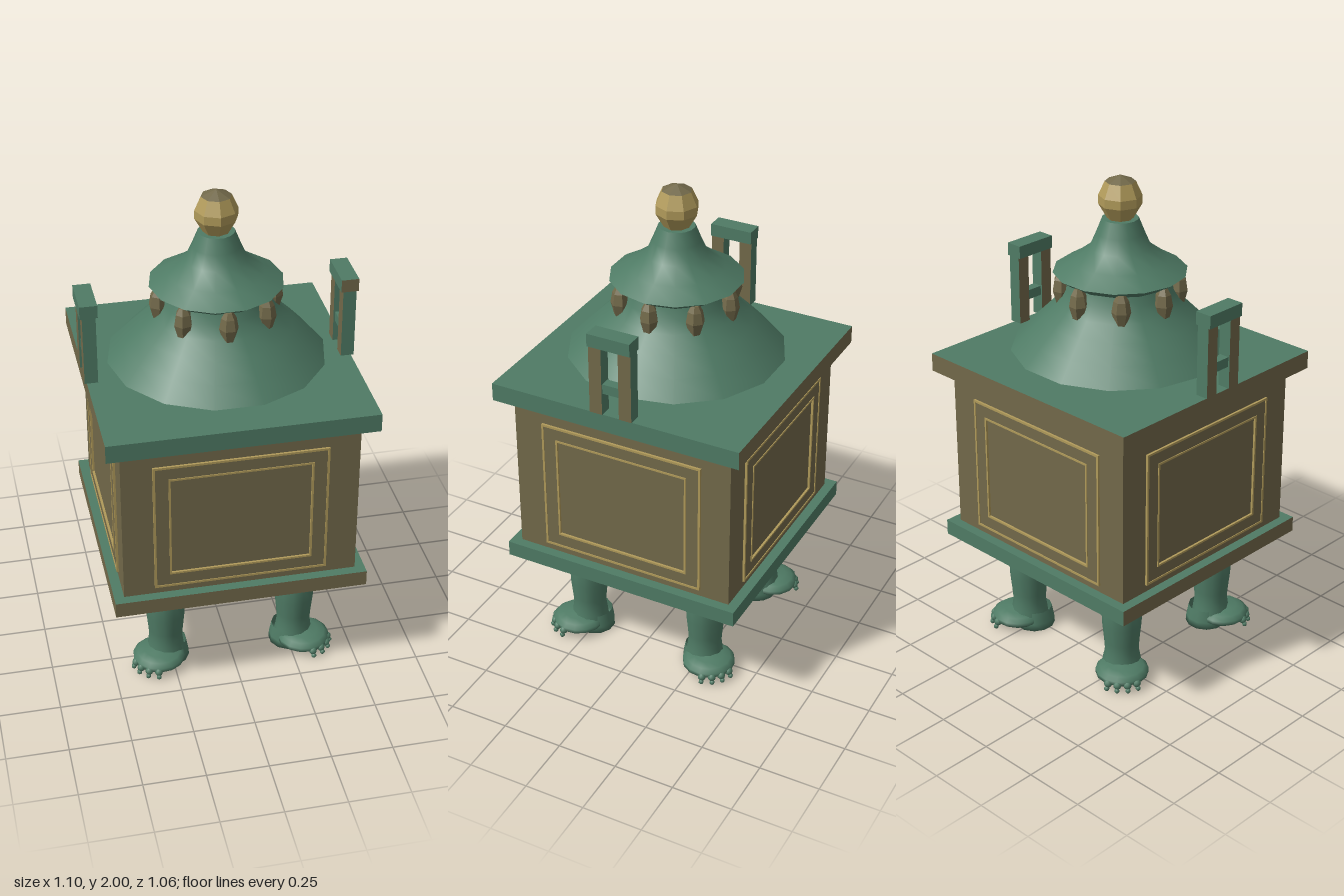
import * as THREE from 'three';

const mat = (name, color, side = THREE.FrontSide) => {
  const m = new THREE.MeshStandardMaterial({ color, side });
  m.name = name;
  return m;
};

export function createModel() {
  const green = mat('verdigris green', 0x4f7b65, THREE.DoubleSide);
  const brown = mat('aged bronze', 0x72694a);
  const gold = mat('pale gold', 0xb09a5a);
  const root = new THREE.Group();
  root.name = 'incenseBurner';

  const add = (parent, name, geo, material, x = 0, y = 0, z = 0) => {
    const m = new THREE.Mesh(geo, material);
    m.name = name;
    m.position.set(x, y, z);
    parent.add(m);
    return m;
  };
  const group = (name, parent = root) => {
    const g = new THREE.Group();
    g.name = name;
    parent.add(g);
    return g;
  };
  const box = (w, h, d) => new THREE.BoxGeometry(w, h, d);
  const lathe = (pts, n, flat = false) => {
    const g = new THREE.LatheGeometry(pts.map(p => new THREE.Vector2(...p)), n, Math.PI / 2);
    if (!flat) return g;
    const f = g.toNonIndexed();
    f.computeVertexNormals();
    return f;
  };

  // Box body between two overhanging slabs; slab faces are +x -x +y -y +z -z
  add(root, 'body', box(0.94, 0.69, 0.94), brown, 0, 0.8425, 0);
  add(root, 'baseSlab', box(1.02, 0.065, 1.02), [green, brown, green, brown, brown, green], 0, 0.4675, 0);
  add(root, 'topSlab', box(1.06, 0.075, 1.06), [green, brown, green, brown, green, brown], 0, 1.2225, 0);

  // Rectangular ring with a centred opening
  const ring = (w, h, iw, ih, depth) => {
    const rect = (P, a, b) => {
      const p = new P();
      p.moveTo(-a / 2, -b / 2);
      p.lineTo(a / 2, -b / 2);
      p.lineTo(a / 2, b / 2);
      p.lineTo(-a / 2, b / 2);
      p.closePath();
      return p;
    };
    const s = rect(THREE.Shape, w, h);
    s.holes.push(rect(THREE.Path, iw, ih));
    return new THREE.ExtrudeGeometry(s, { depth, bevelEnabled: false });
  };

  // Raised frame with two gold trim lines on each side of the body
  const frameGeo = ring(0.69, 0.565, 0.56, 0.44, 0.007);
  const outerGeo = ring(0.694, 0.569, 0.676, 0.551, 0.01);
  const innerGeo = ring(0.572, 0.452, 0.556, 0.436, 0.01);
  for (let i = 0; i < 4; i++) {
    const panel = group('sidePanel');
    panel.rotation.y = i * Math.PI / 2;
    add(panel, 'panelFrame', frameGeo, brown, 0, 0.815, 0.469);
    add(panel, 'outerTrim', outerGeo, gold, 0, 0.815, 0.469);
    add(panel, 'innerTrim', innerGeo, gold, 0, 0.815, 0.469);
  }

  // Domed lid with a flared canopy
  const lid = group('lid');
  add(lid, 'lidSkirt', lathe([[0.436, 1.295], [0.37, 1.365], [0.305, 1.43], [0.25, 1.485], [0.215, 1.54], [0.2, 1.6]], 14), green);
  add(lid, 'lidUnderside', lathe([[0.001, 1.295], [0.436, 1.295]], 14), green);
  add(lid, 'canopyUnderside', lathe([[0.195, 1.575], [0.215, 1.582], [0.265, 1.615]], 14), green);
  add(lid, 'canopy', lathe([[0.265, 1.615], [0.19, 1.66], [0.12, 1.712], [0.095, 1.77], [0.072, 1.828]], 14), green);
  add(lid, 'canopyCap', lathe([[0.072, 1.828], [0, 1.828]], 14), green);

  // Hanging drops beneath the canopy
  const dropGeo = lathe([[0, 1.475], [0.023, 1.476], [0.038, 1.53], [0.03, 1.575], [0.016, 1.6], [0, 1.602]], 6, true);
  for (let i = 0; i < 8; i++) {
    const a = i * Math.PI / 4;
    const d = add(lid, 'drop', dropGeo, brown, Math.sin(a) * 0.23, 0, Math.cos(a) * 0.23);
    d.rotation.y = a;
  }

  // Faceted finial
  add(lid, 'finial', lathe([[0.001, 1.825], [0.052, 1.828], [0.085, 1.885], [0.085, 1.92], [0.06, 1.975]], 8, true), gold);
  add(lid, 'finialCap', lathe([[0.06, 1.975], [0.0005, 2]], 8, true), brown);

  // Upright handles: two posts, a rung and a top bar
  const postMats = [brown, brown, green, brown, green, green];
  for (const s of [1, -1]) {
    const handle = group(s > 0 ? 'leftHandle' : 'rightHandle');
    for (const z of [0.0625, -0.0625])
      add(handle, 'handlePost', box(0.053, 0.29, 0.053), postMats, s * 0.513, 1.41, z);
    add(handle, 'handleRung', box(0.04, 0.04, 0.08), green, s * 0.513, 1.375, 0);
    const barMats = [green, green, green, brown, s > 0 ? brown : green, green];
    add(handle, 'handleBar', box(0.07, 0.053, 0.18), barMats, s * 0.513, 1.5785, 0);
  }

  // Legs with clawed feet pointing out to the corners (+z in each leg's own frame)
  const legGeo = lathe([[0.001, 0.39], [0.06, 0.39], [0.074, 0.355], [0.083, 0.315], [0.08, 0.24], [0.072, 0.16], [0.069, 0.12], [0.074, 0.085], [0.08, 0.04]].reverse(), 12);
  const heelGeo = lathe([[0.001, 0], [0.085, 0], [0.083, 0.03], [0.074, 0.08]], 12);
  const pawGeo = lathe([[0.001, 0.016], [0.085, 0.018], [0.108, 0.035], [0.108, 0.052], [0.09, 0.066], [0.06, 0.075], [0.001, 0.085]], 14);
  const toeGeo = new THREE.SphereGeometry(0.017, 8, 6);
  const clawGeo = new THREE.SphereGeometry(0.011, 6, 5);
  for (let i = 0; i < 4; i++) {
    const a = Math.PI / 4 + i * Math.PI / 2;
    const leg = group('leg');
    leg.position.set(Math.sign(Math.sin(a)) * 0.273, 0, Math.sign(Math.cos(a)) * 0.273);
    leg.rotation.y = a;
    add(leg, 'shank', legGeo, green);
    add(leg, 'heel', heelGeo, green, 0, 0, -0.02);
    add(leg, 'paw', pawGeo, green, 0, 0, 0.05);
    for (let k = 0; k < 4; k++) {
      const t = (k - 1.5) * 0.4;
      add(leg, 'toe', toeGeo, green, Math.sin(t) * 0.102, 0.034, 0.05 + Math.cos(t) * 0.102);
      add(leg, 'claw', clawGeo, green, Math.sin(t) * 0.112, 0.015, 0.05 + Math.cos(t) * 0.112);
    }
  }
  return root;
}
